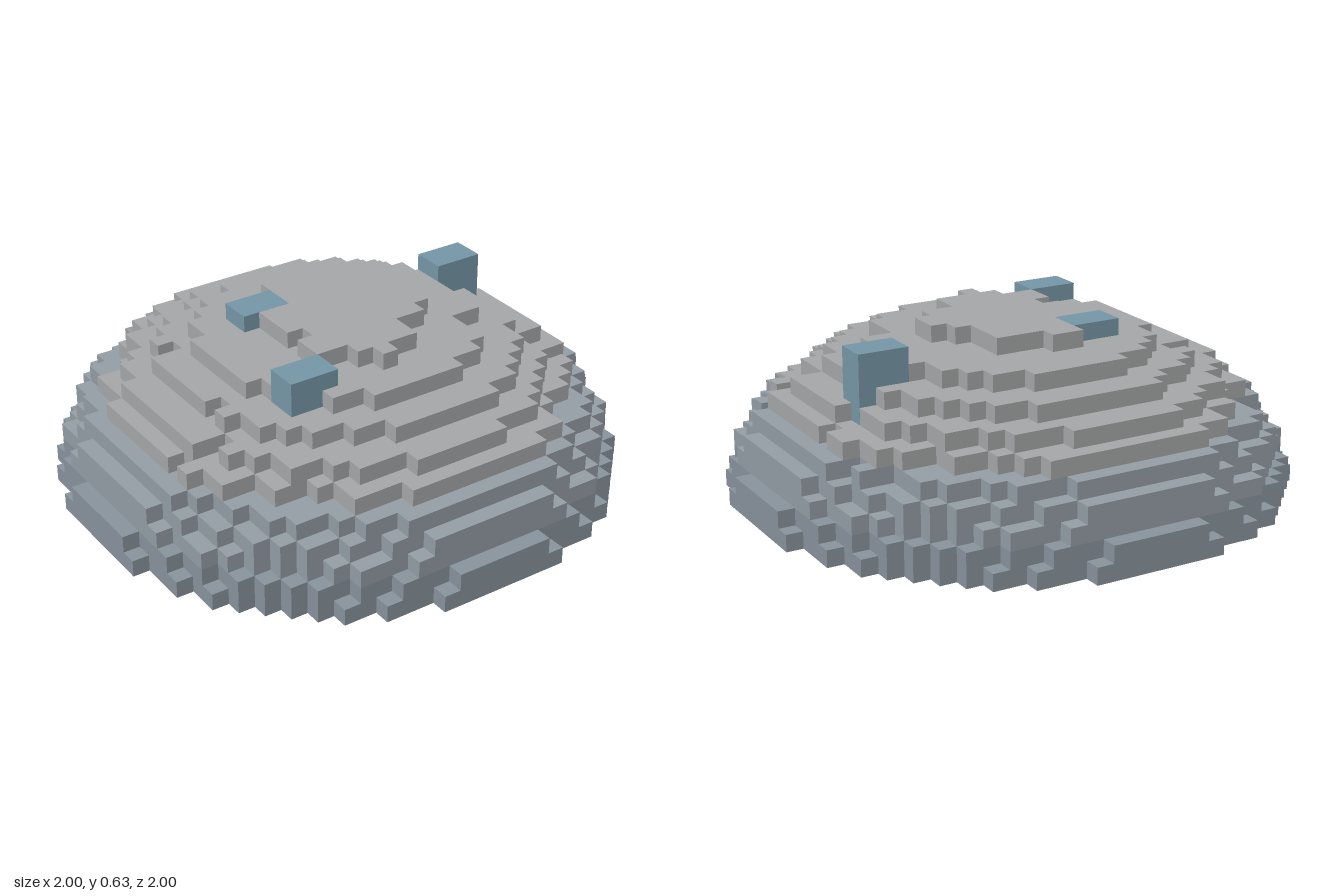
import * as THREE from 'three';

const V = 1 / 16;      // edge of one block
const DOME = 0.62;     // height of the ideal dome

const material = (color) => new THREE.MeshStandardMaterial({ color, flatShading: true });

// Block row spans [row, first, end] of the worn crown
const CROWN = [
  [-5, -2, 0], [-4, -4, 3], [-3, -4, 3], [-2, -4, 3], [-1, -4, 4], [0, -4, 5],
  [1, -3, 5], [2, -4, 4], [3, -4, 2], [4, -2, 2], [5, -1, 0],
];

// Small repeatable hash in 0..1
const hash = (a, b) => {
  const s = Math.sin(a * 12.9898 + b * 78.233) * 43758.5453;
  return s - Math.floor(s);
};

// Rows of a rasterised disc; the upper discs get slightly eroded row ends
function discRows(layer) {
  const y = (layer + 0.5) * V;
  const r = Math.sqrt(1 - (y / DOME) ** 2);
  const rows = [];
  for (let row = -16; row < 16; row++) {
    const z = (row + 0.5) * V;
    if (Math.abs(z) > r) continue;
    const n = Math.floor(Math.sqrt(r * r - z * z) / V + 0.5);
    if (n < 1) continue;
    const worn = (side) => (layer > 3 && n > 3 && Math.abs(row + 0.5) > 2 && hash(row + side * 40, layer) > 0.8 ? 1 : 0);
    rows.push([row, -n + worn(0), n - worn(1)]);
  }
  return rows;
}

// One-block-high slab with a stepped outline made from row spans
function slab(rows) {
  const pts = [];
  const add = (x, row) => pts.push(new THREE.Vector2(x * V, -row * V));
  for (const [row, , end] of rows) {
    add(end, row);
    add(end, row + 1);
  }
  for (const [row, first] of [...rows].reverse()) {
    add(first, row + 1);
    add(first, row);
  }
  // drop points repeated where neighbouring rows have the same end
  const clean = pts.filter((p, i) => !p.equals(pts[(i + 1) % pts.length]));
  const geometry = new THREE.ExtrudeGeometry(new THREE.Shape(clean), { depth: V, bevelEnabled: false });
  return geometry.rotateX(-Math.PI / 2);
}

export function createModel() {
  const group = new THREE.Group();
  const dark = material(0x8a959e);
  const mid = material(0x969fa8);
  const light = material(0xa7a9aa);
  const blue = material(0x7799a9);

  // Stepped dome, from the ground to the crown
  for (let layer = 0; layer < 10; layer++) {
    const mat = layer < 2 ? dark : layer < 5 ? mid : light;
    const mesh = new THREE.Mesh(slab(layer === 9 ? CROWN : discRows(layer)), mat);
    mesh.name = layer === 9 ? 'crown' : `domeLayer${layer + 1}`;
    mesh.position.y = layer * V;
    group.add(mesh);
  }

  // Blue crystals set into the dome: first block x, z, bottom
  const crystals = [[-5, -4, 8], [-7, 4, 8], [8, -3, 6]];
  crystals.forEach(([x, z, bottom], i) => {
    const height = 10 - bottom;
    const e = 0.001; // keeps faces clear of the slabs
    const mesh = new THREE.Mesh(new THREE.BoxGeometry(3 * V + e, height * V + e, 2 * V + e), blue);
    mesh.name = `crystal${i + 1}`;
    mesh.position.set((x + 1.5) * V, (bottom + height / 2) * V, (z + 1) * V);
    group.add(mesh);
  });

  return group;
}
